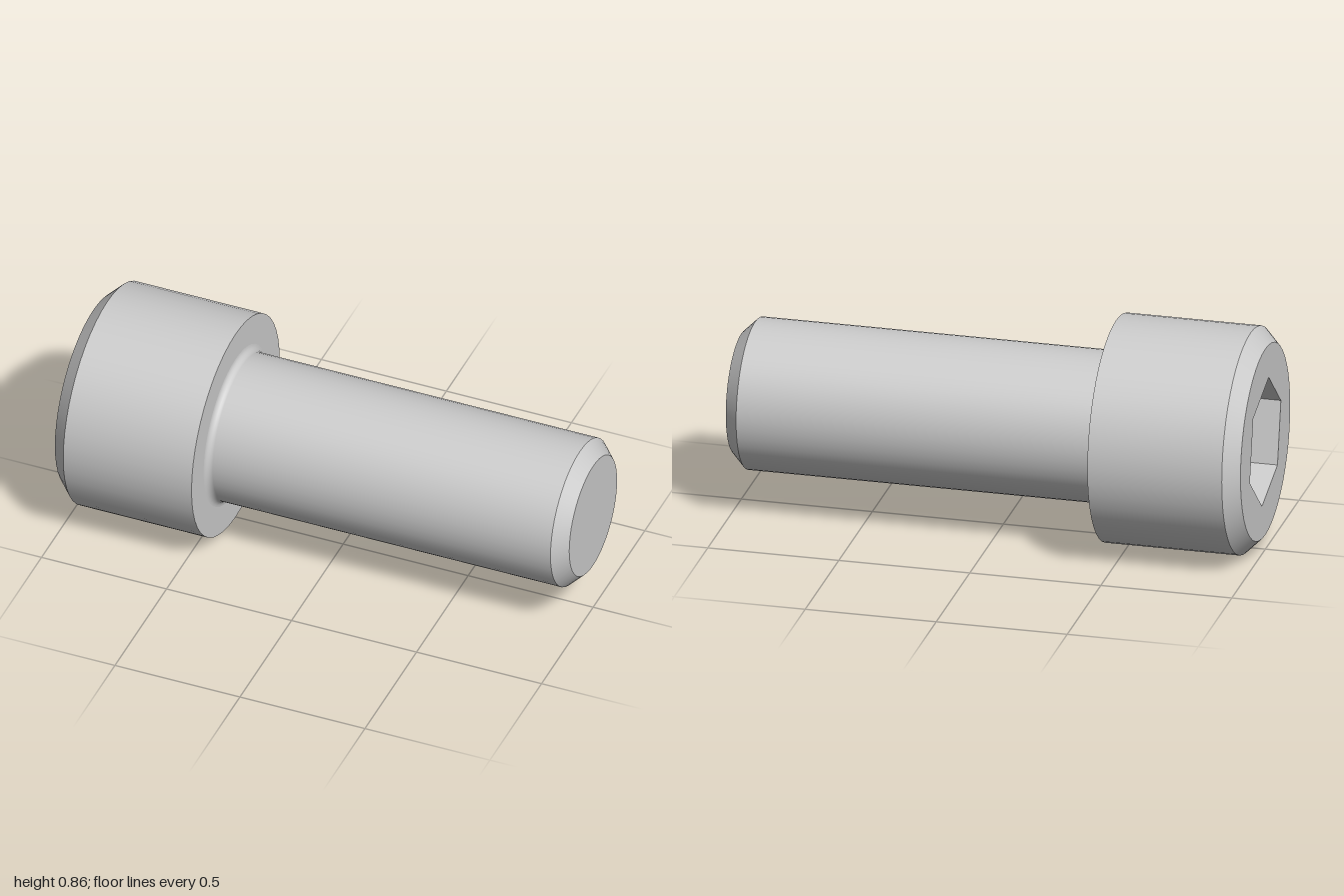
import * as THREE from 'three';
import { mergeGeometries } from 'three/addons/utils/BufferGeometryUtils.js';

const SEGMENTS = 48;
const HEAD_R = 0.4275, HEAD_CHAMFER = 0.057, HEAD_END = -0.43;
const SHANK_R = 0.285, SHANK_CHAMFER = 0.053, FILLET = 0.026;
const SOCKET_R = 0.243, SOCKET_DEPTH = 0.29, SOCKET_TURN = THREE.MathUtils.degToRad(18);

// Turns a profile of [position along x, radius] into a surface around the x axis
function turned(profile) {
  const points = profile.map(([x, r]) => new THREE.Vector2(r, x));
  return new THREE.LatheGeometry(points, SEGMENTS).rotateZ(-Math.PI / 2);
}

// Points of a regular polygon
function ring(radius, count, turn = 0) {
  return Array.from({ length: count }, (_, i) => {
    const a = turn + (i / count) * Math.PI * 2;
    return new THREE.Vector2(radius * Math.cos(a), radius * Math.sin(a));
  });
}

export function createModel() {
  const model = new THREE.Group();
  model.name = 'socketHeadScrew';
  const material = new THREE.MeshStandardMaterial({ color: 0xcccccc });
  const add = (parent, name, geometry) => {
    const mesh = new THREE.Mesh(geometry, material);
    mesh.name = name;
    parent.add(mesh);
  };

  const screw = new THREE.Group();
  screw.name = 'screw';
  screw.position.y = HEAD_R;
  model.add(screw);

  // Head: chamfer, side and underside, kept apart for sharp edges
  const rimR = HEAD_R - HEAD_CHAMFER;
  const shoulder = -1 + HEAD_CHAMFER;
  add(screw, 'headChamfer', turned([[-1, rimR], [shoulder, HEAD_R]]));
  add(screw, 'headSide', turned([[shoulder, HEAD_R], [HEAD_END, HEAD_R]]));
  add(screw, 'headUnderside', turned([[HEAD_END, HEAD_R], [HEAD_END, SHANK_R + FILLET]]));

  // Shank, with a rounded fillet where it meets the head
  const shank = [];
  for (let i = 0; i <= 6; i++) {
    const a = (i / 6) * Math.PI / 2;
    shank.push([HEAD_END + FILLET * (1 - Math.cos(a)), SHANK_R + FILLET * (1 - Math.sin(a))]);
  }
  shank[6] = [HEAD_END + FILLET, SHANK_R];
  const tipStart = 1 - SHANK_CHAMFER;
  shank.push([tipStart, SHANK_R]);
  add(screw, 'shank', turned(shank));

  // Tip
  const tipR = SHANK_R - SHANK_CHAMFER;
  add(screw, 'tipChamfer', turned([[tipStart, SHANK_R], [1, tipR]]));
  add(screw, 'tipFace', new THREE.CircleGeometry(tipR, SEGMENTS).rotateY(Math.PI / 2).translate(1, 0, 0));

  // Drive end, built facing +z and then turned towards -x
  const drive = new THREE.Group();
  drive.name = 'driveEnd';
  drive.position.x = -1;
  drive.rotation.y = -Math.PI / 2;
  screw.add(drive);

  const face = new THREE.Shape(ring(rimR, SEGMENTS));
  face.holes.push(new THREE.Path(ring(SOCKET_R, 6, SOCKET_TURN).reverse()));
  add(drive, 'headFace', new THREE.ShapeGeometry(face));

  // Hexagonal socket: six inward walls and a flat floor
  const apothem = SOCKET_R * Math.cos(Math.PI / 6);
  const walls = [];
  for (let i = 0; i < 6; i++) {
    walls.push(new THREE.PlaneGeometry(SOCKET_R, SOCKET_DEPTH)
      .rotateX(-Math.PI / 2)
      .translate(0, -apothem, -SOCKET_DEPTH / 2)
      .rotateZ(SOCKET_TURN + i * Math.PI / 3));
  }
  add(drive, 'socketWalls', mergeGeometries(walls));
  add(drive, 'socketFloor', new THREE.CircleGeometry(SOCKET_R, 6, SOCKET_TURN).translate(0, 0, -SOCKET_DEPTH));

  return model;
}
